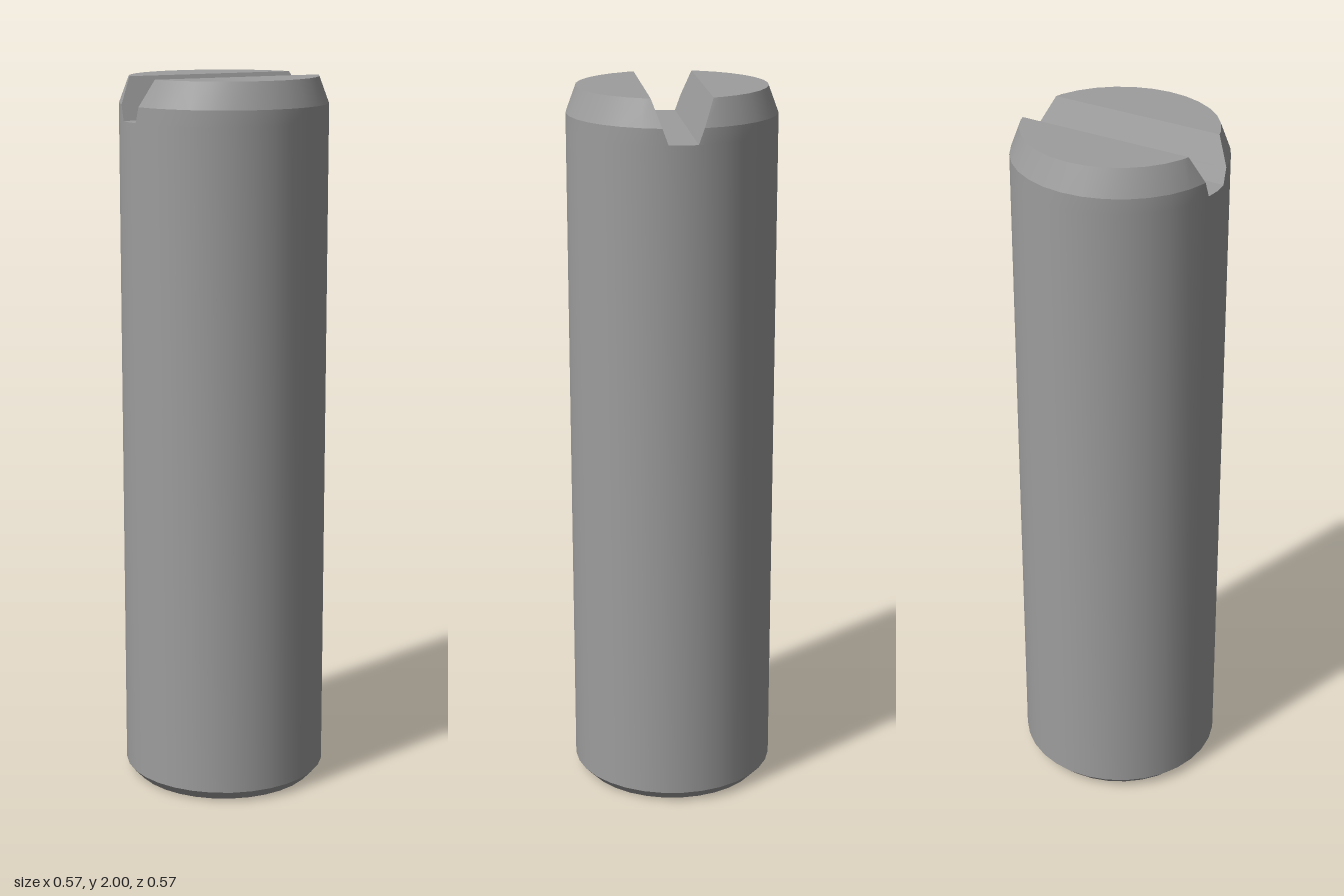
import * as THREE from 'three';
import { toCreasedNormals } from 'three/addons/utils/BufferGeometryUtils.js';

const SIDES = 32;
const RADIUS = 0.286;
const FLOOR = 1.885; // height of the slot floor
const CREASE = 0.25;

// Half of the round outline, cut off along z = cut
function halfOutline(y, radius, cut) {
  const corner = (k) => {
    const a = (k / SIDES) * Math.PI * 2;
    return new THREE.Vector3(radius * Math.sin(a), y, radius * Math.cos(a));
  };
  // Where the straight outline edge meets the cut
  let edge = 0;
  while (corner(edge + 1).z > cut) edge++;
  const p = corner(edge), q = corner(edge + 1);
  const end = p.clone().lerp(q, (p.z - cut) / (p.z - q.z));

  const points = [];
  for (let k = -SIDES / 4; k <= SIDES / 4; k++) {
    if (Math.abs(k) <= edge) points.push(corner(k));
    else points.push(new THREE.Vector3(Math.sign(k) * end.x, y, cut));
  }
  return points;
}

// Solid joining the cross-sections, with a cap on top
function prongGeometry(sections) {
  const n = sections[0].length;
  const index = [];
  for (let l = 0; l < sections.length - 1; l++) {
    for (let k = 0; k < n; k++) {
      const a = l * n + k, b = l * n + ((k + 1) % n);
      index.push(a, b, b + n, a, b + n, a + n);
    }
  }
  const top = (sections.length - 1) * n;
  for (let k = 1; k < n - 1; k++) index.push(top, top + k, top + k + 1);
  const geometry = new THREE.BufferGeometry().setFromPoints(sections.flat());
  geometry.setIndex(index);
  return toCreasedNormals(geometry, CREASE);
}

export function createModel() {
  const group = new THREE.Group();
  group.name = 'slottedPin';
  const material = new THREE.MeshStandardMaterial({ color: 0x9d9d9d });

  // Shaft with a small bottom chamfer, closed at the slot floor
  const profile = [[0, 0], [0.258, 0], [RADIUS, 0.03], [RADIUS, FLOOR], [0, FLOOR]];
  const shaftGeometry = new THREE.LatheGeometry(
    profile.map(([r, y]) => new THREE.Vector2(r, y)), SIDES);
  const shaft = new THREE.Mesh(toCreasedNormals(shaftGeometry, CREASE), material);
  shaft.name = 'shaft';
  group.add(shaft);

  // Chamfered tip halves on either side of the tapered slot
  const tipGeometry = prongGeometry([
    halfOutline(FLOOR, RADIUS, 0.039),
    halfOutline(1.928, RADIUS, 0.0545),
    halfOutline(2, 0.259, 0.081),
  ]);
  ['frontTip', 'backTip'].forEach((name, i) => {
    const tip = new THREE.Mesh(tipGeometry, material);
    tip.name = name;
    tip.rotation.y = i * Math.PI;
    group.add(tip);
  });

  return group;
}
